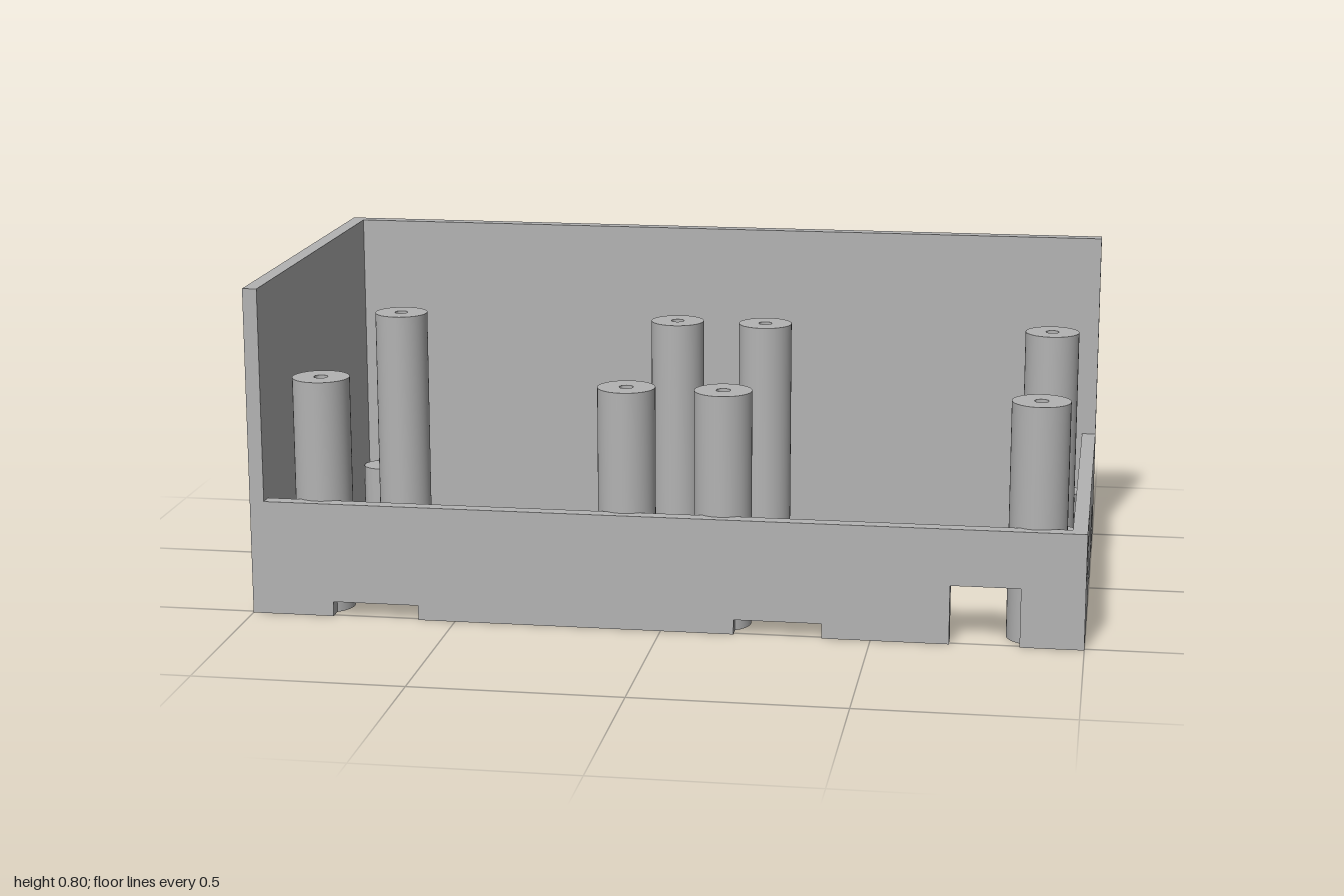
import * as THREE from 'three';
import { toCreasedNormals } from 'three/addons/utils/BufferGeometryUtils.js';

const T = 0.035;      // wall thickness
const X = 1;          // half width
const Z = 0.51;       // half depth
const LOW = 0.28;     // low wall height
const HIGH = 0.8;     // tall wall height
const SLOT = 0.036;   // cable slot height

export function createModel() {
  const model = new THREE.Group();
  const grey = new THREE.MeshStandardMaterial({ color: 0xb3b3b3 });
  grey.name = 'plain grey';

  const add = (name, geometry, x = 0, y = 0, z = 0) => {
    const mesh = new THREE.Mesh(geometry, grey);
    mesh.name = name;
    mesh.position.set(x, y, z);
    model.add(mesh);
    return mesh;
  };
  const box = (name, x0, x1, y0, y1, z0, z1) =>
    add(name, new THREE.BoxGeometry(x1 - x0, y1 - y0, z1 - z0),
      (x0 + x1) / 2, (y0 + y1) / 2, (z0 + z1) / 2);

  // Low wall with notches [start, end, height] along its lower edge
  const notchedWall = (start, end, notches, windows = []) => {
    const shape = new THREE.Shape();
    shape.moveTo(start, 0);
    for (const [a, b, h] of notches) {
      shape.lineTo(a, 0);
      shape.lineTo(a, h);
      shape.lineTo(b, h);
      shape.lineTo(b, 0);
    }
    shape.lineTo(end, 0);
    shape.lineTo(end, LOW);
    shape.lineTo(start, LOW);
    shape.closePath();
    for (const [a, b, y0, y1] of windows) {
      const hole = new THREE.Path();
      hole.moveTo(a, y0);
      hole.lineTo(a, y1);
      hole.lineTo(b, y1);
      hole.lineTo(b, y0);
      hole.closePath();
      shape.holes.push(hole);
    }
    return new THREE.ExtrudeGeometry(shape, { depth: T, bevelEnabled: false });
  };

  // Tall walls
  box('backWall', -X, X, 0, HIGH, -Z, -Z + T);
  box('tallSideWall', -X, -X + T, 0, HIGH, -Z + T, Z);

  // Low walls with cable slots, openings and a window
  add('frontWall', notchedWall(-X + T, X,
    [[-0.8, -0.59, SLOT], [0.175, 0.385, SLOT], [0.685, 0.85, 0.143]]), 0, 0, Z - T);
  const side = notchedWall(-Z + T, Z - T,
    [[-0.325, -0.183, 0.141], [-0.08, 0.13, SLOT]], [[0.235, 0.375, 0.117, 0.26]]);
  side.rotateY(-Math.PI / 2);
  add('lowSideWall', side, X);

  const turned = (points) => toCreasedNormals(
    new THREE.LatheGeometry(points.map(([r, y]) => new THREE.Vector2(r, y)), 40), 0.6);

  // Tall screw towers: narrow bore above, wide recess below
  const R = 0.069, TOP = 0.572, BORE = 0.017, RECESS = 0.042, DEPTH = 0.4;
  const tower = turned([[RECESS, 0], [R, 0], [R, TOP], [BORE, TOP],
    [BORE, DEPTH], [RECESS, DEPTH], [RECESS, 0]]);
  for (const x of [-0.84, -0.095, 0.137, 0.883]) {
    add('backTower', tower, x, 0, -0.372);
    add('frontTower', tower, x, 0, 0.419);
    box('towerRib', x - 0.02, x + 0.02, 0, LOW, -Z + T, -0.43);
  }

  // Short pegs with blind holes from below
  const peg = (bottom) => turned([[0, 0.11], [0.017, 0.11], [0.017, bottom],
    [0.05, bottom], [0.05, 0.138], [0, 0.138]]);
  const cornerPeg = peg(0);
  for (const x of [-0.913, 0.918])
    for (const z of [-0.42, 0.417]) add('cornerPeg', cornerPeg, x, 0, z);

  // Cable clamp peg pairs behind the slots
  const clampPeg = peg(SLOT);
  for (const [x, z] of [[-0.747, 0.427], [-0.652, 0.427], [0.23, 0.427], [0.325, 0.427],
    [0.918, -0.026], [0.918, 0.069]]) add('clampPeg', clampPeg, x, 0, z);

  return model;
}
